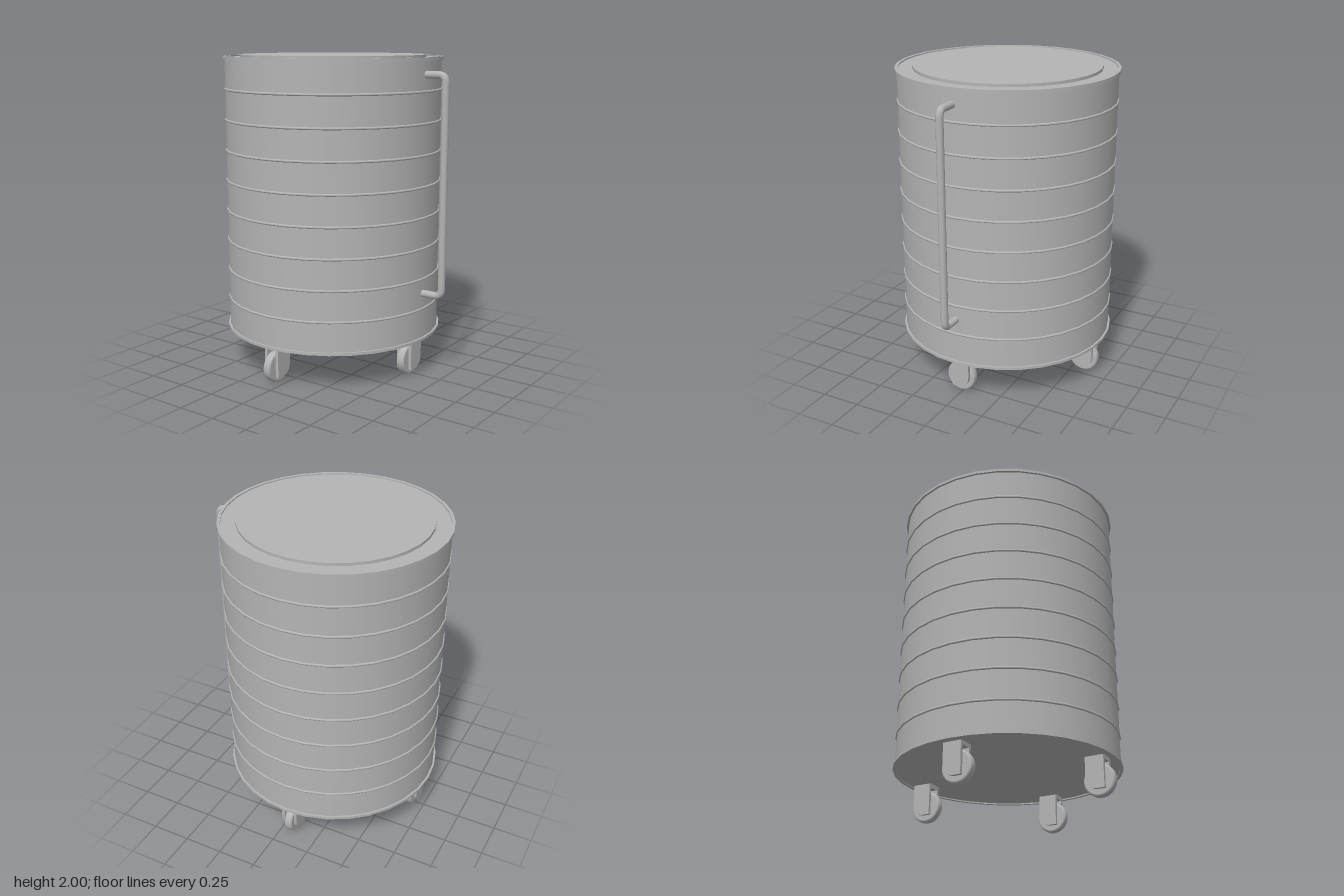
import * as THREE from 'three';
import { toCreasedNormals } from 'three/addons/utils/BufferGeometryUtils.js';

const DRUM_Z = -0.07;
const SIDES = 32;

export function createModel() {
  const model = new THREE.Group();
  const metal = new THREE.MeshStandardMaterial({ color: 0xb4b4b4 });
  metal.name = 'grey metal';

  const add = (parent, name, geometry, x = 0, y = 0, z = 0) => {
    const mesh = new THREE.Mesh(geometry, metal);
    mesh.name = name;
    mesh.position.set(x, y, z);
    parent.add(mesh);
    return mesh;
  };
  const lathe = (points, sides) => toCreasedNormals(
    new THREE.LatheGeometry(points.map(p => new THREE.Vector2(...p)), sides), 0.6);

  // Drum body with its rolled rims and slightly sunken ends
  add(model, 'drum', lathe([
    [0, 0.248], [0.68, 0.248], [0.68, 0.24], [0.7, 0.24], [0.7, 0.257], [0.687, 0.257],
    [0.687, 1.972], [0.7, 1.972], [0.7, 1.99], [0.68, 1.99], [0.68, 1.982], [0, 1.982],
  ], SIDES), 0, 0, DRUM_Z);

  // Raised lid
  add(model, 'lid', lathe([[0.59, 1.98], [0.59, 2], [0, 2]], SIDES), 0, 0, DRUM_Z);

  // Thin hoops around the drum
  const hoop = new THREE.TorusGeometry(0.687, 0.008, 8, SIDES);
  hoop.rotateX(Math.PI / 2);
  hoop.rotateY(Math.PI / 2);
  for (let i = 0; i < 8; i++) add(model, 'hoop', hoop, 0, 0.443 + i * 0.192, DRUM_Z);

  // Upright handle: straight runs joined by rounded corners
  const v = (y, z) => new THREE.Vector3(0, y, z);
  const [low, high, out, inn, r] = [0.542, 1.888, 0.747, 0.6, 0.045];
  const path = new THREE.CurvePath();
  path.add(new THREE.LineCurve3(v(low, inn), v(low, out - r)));
  path.add(new THREE.QuadraticBezierCurve3(v(low, out - r), v(low, out), v(low + r, out)));
  path.add(new THREE.LineCurve3(v(low + r, out), v(high - r, out)));
  path.add(new THREE.QuadraticBezierCurve3(v(high - r, out), v(high, out), v(high, out - r)));
  path.add(new THREE.LineCurve3(v(high, out - r), v(high, inn)));
  add(model, 'handle', new THREE.TubeGeometry(path, 160, 0.023, 12, false));

  // Caster parts: fork plate with one rounded lower corner, bridge and wheel
  const plateShape = new THREE.Shape();
  plateShape.moveTo(-0.058, 0.242);
  plateShape.lineTo(-0.058, 0.045);
  plateShape.lineTo(-0.015, 0.045);
  plateShape.bezierCurveTo(0.03, 0.045, 0.058, 0.075, 0.058, 0.13);
  plateShape.lineTo(0.058, 0.242);
  plateShape.closePath();
  const plate = toCreasedNormals(
    new THREE.ExtrudeGeometry(plateShape, { depth: 0.02, bevelEnabled: false, curveSegments: 8 }), 0.6);
  const bridge = new THREE.BoxGeometry(0.116, 0.025, 0.07);
  const wheel = lathe([
    [0, -0.026], [0.088, -0.026], [0.095, -0.021], [0.098, -0.012],
    [0.098, 0.012], [0.095, 0.021], [0.088, 0.026], [0, 0.026],
  ], 28);
  wheel.rotateX(Math.PI / 2);
  const axle = new THREE.CylinderGeometry(0.012, 0.012, 0.08, 12);
  axle.rotateX(Math.PI / 2);

  // Four casters in a cross, all rolling the same way
  for (let i = 0; i < 4; i++) {
    const a = i * Math.PI / 2;
    const caster = new THREE.Group();
    caster.name = 'caster';
    caster.position.set(0.592 * Math.sin(a), 0, DRUM_Z + 0.592 * Math.cos(a));
    add(caster, 'forkPlate', plate, 0, 0, 0.033);
    add(caster, 'forkPlate', plate, 0, 0, -0.053);
    add(caster, 'forkBridge', bridge, 0, 0.2325, 0);
    add(caster, 'wheel', wheel, -0.014, 0.102, 0);
    add(caster, 'axle', axle, -0.014, 0.102, 0);
    model.add(caster);
  }
  return model;
}
